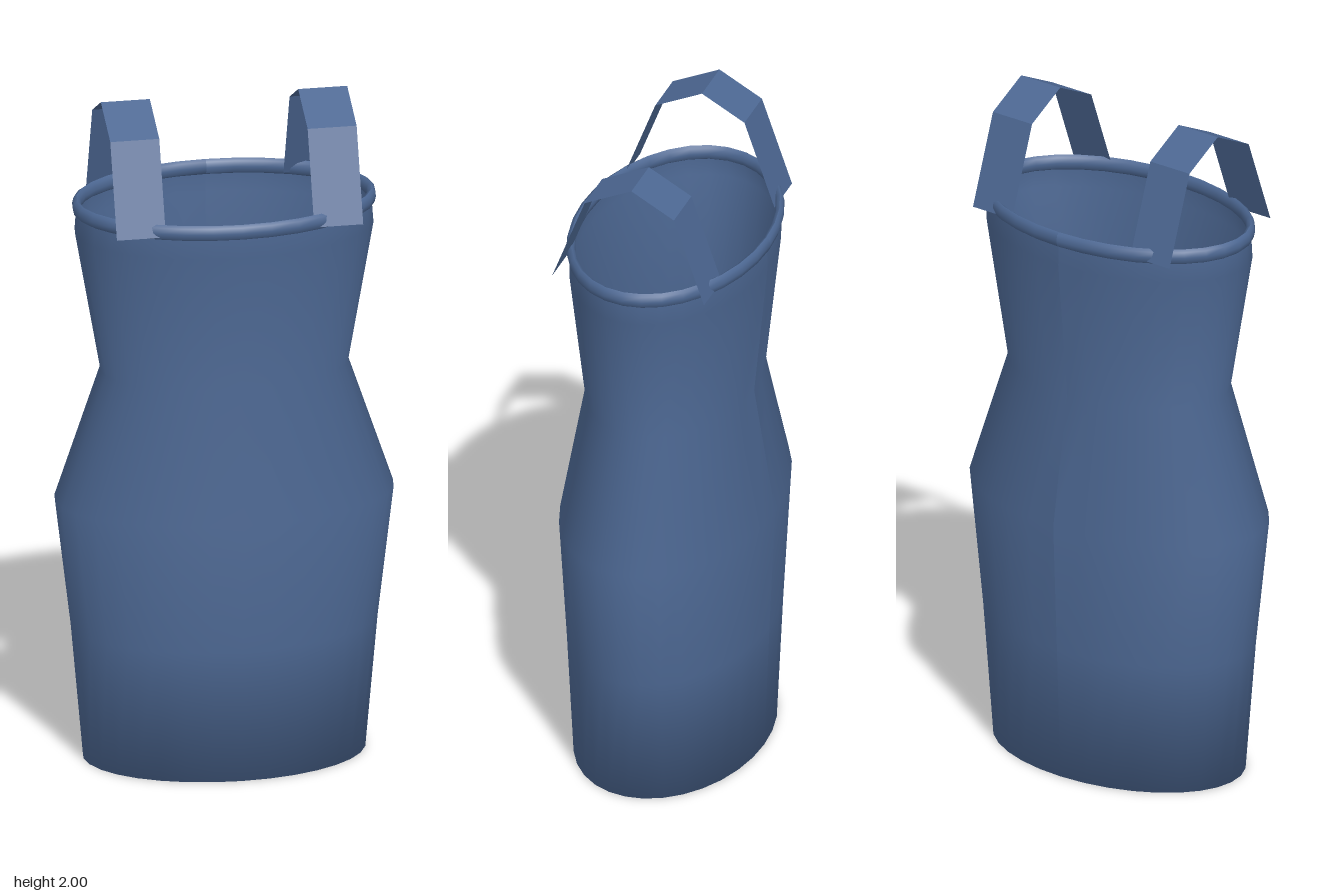
import * as THREE from 'three';

// Lofts a surface through oval rows [y, half width, half depth], listed from top to bottom
function loft(rows, segments = 32) {
  const geo = new THREE.CylinderGeometry(1, 1, 1, segments, rows.length - 1, true, Math.PI);
  const p = geo.attributes.position;
  for (let i = 0; i < p.count; i++) {
    const [y, rx, rz] = rows[Math.floor(i / (segments + 1))];
    p.setXYZ(i, p.getX(i) * rx, y, p.getZ(i) * rz);
  }
  geo.computeVertexNormals();
  return geo;
}

export function createModel() {
  const model = new THREE.Group();
  model.name = 'dress';
  const fabric = new THREE.MeshStandardMaterial({ color: 0x4c6792, side: THREE.DoubleSide });
  fabric.name = 'blue fabric';

  const add = (name, geo) => {
    const mesh = new THREE.Mesh(geo, fabric);
    mesh.name = name;
    model.add(mesh);
  };

  // Open fitted body: bust, waist, hips, hem
  const bodyGeo = loft([
    [1.68, 0.428, 0.28],
    [1.6, 0.434, 0.282],
    [1.18, 0.36, 0.241],
    [0.79, 0.493, 0.305],
    [0.4, 0.446, 0.288],
    [0, 0.41, 0.272],
  ]);
  // The hem's normals roll under for a soft edge
  const pos = bodyGeo.attributes.position, nor = bodyGeo.attributes.normal;
  const n = new THREE.Vector3();
  for (let i = 0; i < pos.count; i++) {
    if (pos.getY(i) > 0.01) continue;
    n.fromBufferAttribute(nor, i);
    n.y -= 0.7;
    n.normalize();
    nor.setXYZ(i, n.x, n.y, n.z);
  }
  add('body', bodyGeo);

  // Rolled neckline band
  const band = [];
  for (let i = 0; i <= 8; i++) {
    const a = Math.PI / 2 - (i / 8) * Math.PI * 2;
    const out = Math.cos(a) * 0.013;
    band.push([1.678 + Math.sin(a) * 0.023, 0.428 + out, 0.278 + out]);
  }
  add('necklineBand', loft(band));

  // Folded shoulder straps, [z, y] from front to back
  const path = [[0.243, 1.665], [0.143, 1.93], [0, 2], [-0.13, 1.93], [-0.222, 1.665]];
  for (const [side, cx] of [['left', 0.288], ['right', -0.288]]) {
    const strap = new THREE.PlaneGeometry(0.143, 1, 1, path.length - 1);
    const p = strap.attributes.position;
    for (let i = 0; i < p.count; i++) {
      // Rows run back to front so the outer face looks up
      const [z, y] = path[path.length - 1 - Math.floor(i / 2)];
      p.setXYZ(i, p.getX(i) + cx, y, z);
    }
    const flat = strap.toNonIndexed();
    flat.computeVertexNormals();
    add(side + 'Strap', flat);
  }
  return model;
}
